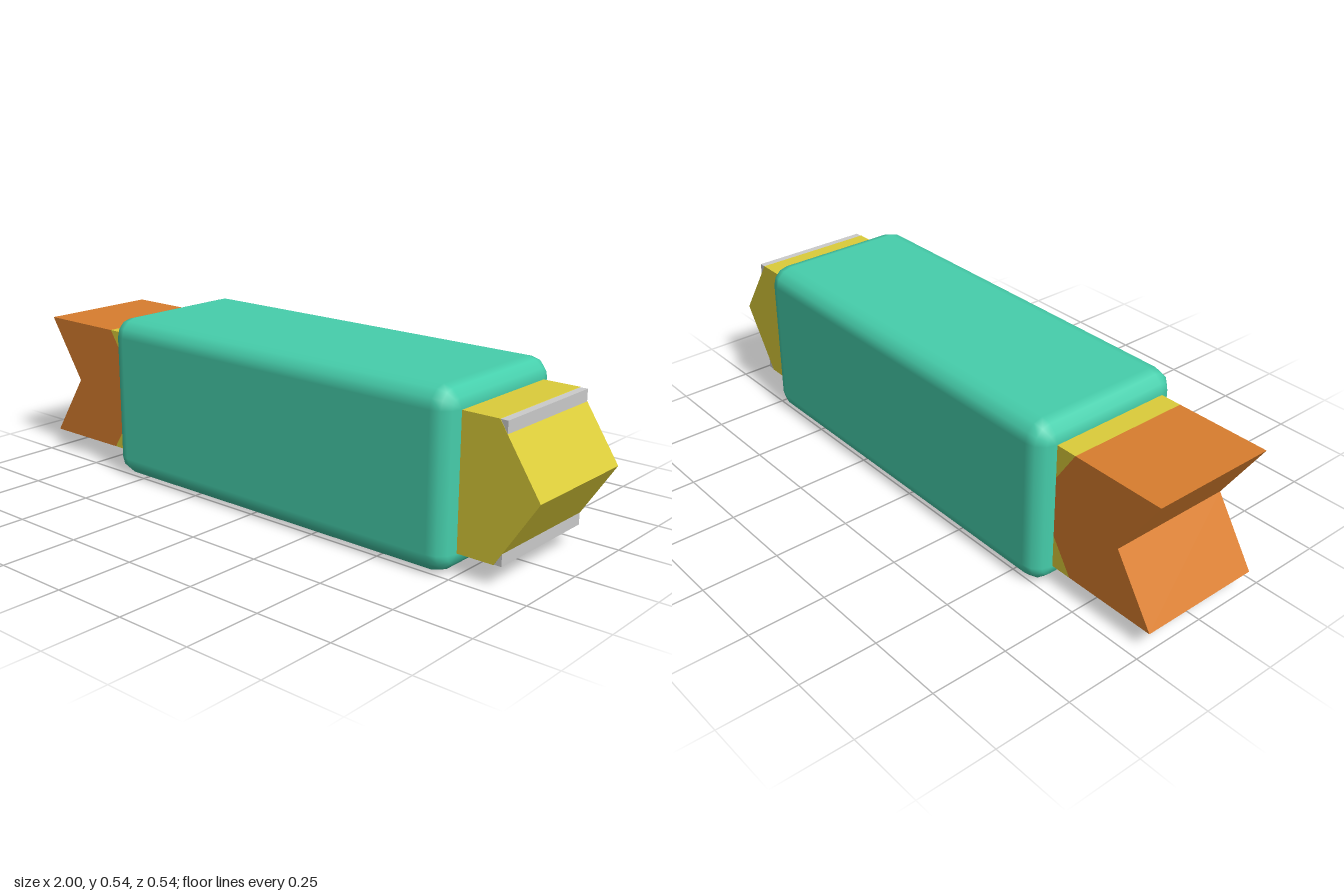
import * as THREE from 'three';

const MID = 0.27;    // height of the long axis
const HALF = 0.207;  // half width of the square core
const POINT = 0.135; // depth of the arrow points and notches

const material = (color) => new THREE.MeshStandardMaterial({ color });

// Square bar between x0 and x1 with a V notch on the left and a V point on the right
function chevronBar(name, x0, x1, color) {
  const shape = new THREE.Shape([
    [x0, -HALF], [x1, -HALF], [x1 + POINT, 0], [x1, HALF], [x0, HALF], [x0 + POINT, 0],
  ].map(([x, y]) => new THREE.Vector2(x, y)));
  const geometry = new THREE.ExtrudeGeometry(shape, { depth: 2 * HALF, bevelEnabled: false });
  geometry.translate(0, MID, -HALF);
  const mesh = new THREE.Mesh(geometry, material(color));
  mesh.name = name;
  return mesh;
}

// Box with rounded edges and corners, lofted from rings along x
function roundedBar(length, half, radius, steps) {
  const positions = [], normals = [], index = [];
  const inner = half - radius, innerX = length / 2 - radius;
  const rings = [], around = [];
  for (const side of [1, -1]) {
    const arc = [];
    for (let i = 0; i <= steps; i++) arc.push({ side, angle: side * (1 - i / steps) * Math.PI / 2, spread: 1 });
    arc.unshift({ side, angle: side * Math.PI / 2, spread: 0 }); // centre of the end cap
    rings.push(...(side > 0 ? arc : arc.reverse()));
  }
  for (let corner = 0; corner < 4; corner++) {
    const mid = (corner + 0.5) * Math.PI / 2;
    for (let i = 0; i <= steps; i++) {
      around.push({ phi: (corner + i / steps) * Math.PI / 2, y: Math.sign(Math.cos(mid)), z: Math.sign(Math.sin(mid)) });
    }
  }
  const n = around.length;
  rings.forEach(({ side, angle, spread }, k) => {
    around.forEach(({ phi, y, z }, j) => {
      const nx = Math.sin(angle), ny = Math.cos(angle) * Math.cos(phi), nz = Math.cos(angle) * Math.sin(phi);
      normals.push(nx, ny, nz);
      positions.push(side * innerX + radius * nx, spread * y * inner + radius * ny, spread * z * inner + radius * nz);
      if (k + 1 < rings.length) {
        const a = k * n + j, b = k * n + (j + 1) % n;
        index.push(a, a + n, b, b, a + n, b + n);
      }
    });
  });
  const geometry = new THREE.BufferGeometry();
  geometry.setAttribute('position', new THREE.Float32BufferAttribute(positions, 3));
  geometry.setAttribute('normal', new THREE.Float32BufferAttribute(normals, 3));
  geometry.setIndex(index);
  return geometry;
}

export function createModel() {
  const model = new THREE.Group();
  model.name = 'arrowBar';

  // Rounded outer sleeve
  const sleeve = new THREE.Mesh(roundedBar(1.365, 0.27, 0.062, 3), material(0x46cfac));
  sleeve.name = 'sleeve';
  sleeve.position.set(0.0625, MID, 0);

  // Grey core, a hair thinner than the coloured bars that wrap it
  const core = new THREE.Mesh(new THREE.BoxGeometry(1.655, 2 * HALF - 0.002, 2 * HALF - 0.002), material(0xcccccc));
  core.name = 'core';
  core.position.set(0.0625, MID, 0);

  // Pointed bar through the sleeve and the notched tail behind it
  const arrow = chevronBar('arrowShaft', -0.69, 1 - POINT, 0xdccd3a);
  const tail = chevronBar('arrowTail', -1, -0.69, 0xd97e2e);

  model.add(sleeve, core, arrow, tail);
  return model;
}
